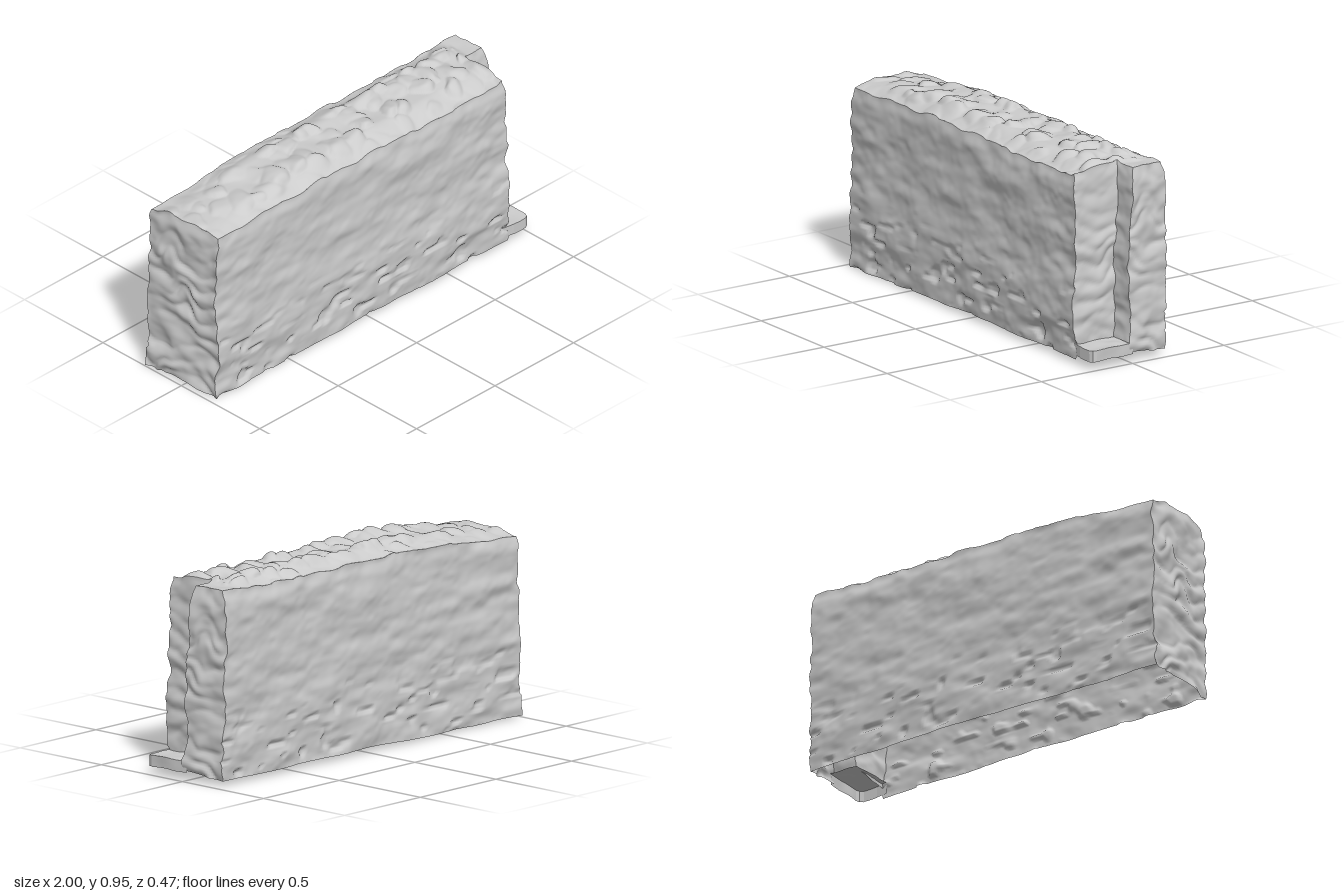
import * as THREE from 'three';

// seeded value noise, roughly -1..1
const hash = (x, y, z) => {
  const s = Math.sin(x * 127.1 + y * 311.7 + z * 74.7) * 43758.5453;
  return s - Math.floor(s);
};
const { lerp, smoothstep } = THREE.MathUtils;
function noise(x, y, z) {
  const i = Math.floor(x), j = Math.floor(y), k = Math.floor(z);
  const f = (t) => t * t * (3 - 2 * t);
  const u = f(x - i), v = f(y - j), w = f(z - k);
  const row = (b, c) => lerp(hash(i, b, c), hash(i + 1, b, c), u);
  const layer = (c) => lerp(row(j, c), row(j + 1, c), v);
  return lerp(layer(k), layer(k + 1), w) * 2 - 1;
}

// tilted, flattened stones scattered over the top
function rubble(x0, z0) {
  const x = x0 + 0.016 * noise(x0 * 18, 6, z0 * 18), z = z0 + 0.016 * noise(x0 * 18, 16, z0 * 18);
  const size = 0.11, ci = Math.floor(x / size), cj = Math.floor(z / size);
  let h = 0;
  for (let i = ci - 1; i <= ci + 1; i++) {
    for (let j = cj - 1; j <= cj + 1; j++) {
      const dx = x - (i + hash(i, j, 3)) * size, dz = z - (j + hash(i, j, 8)) * size;
      const turn = hash(i, j, 12) * Math.PI, c = Math.cos(turn), s = Math.sin(turn);
      const d = Math.hypot(c * dx + s * dz, 1.4 * (c * dz - s * dx)) / (0.06 + 0.035 * hash(i, j, 5));
      const tilt = 0.2 * (c * dx + s * dz);
      if (d < 1) h = Math.max(h, (0.008 + 0.02 * hash(i, j, 9) + tilt) * (1 - d ** 3));
    }
  }
  return h;
}

// top height: low at the edges and the left end, crested in the middle, flat on the pier
function topHeight(x, z) {
  const inside = smoothstep(z, -0.23, -0.08) * (1 - smoothstep(z, 0.08, 0.22));
  const ends = smoothstep(x, -1, -0.35);
  const edge = lerp(0.842, 0.866, smoothstep(x, -0.98, -0.2)) + 0.022 * smoothstep(-z, 0, 0.2) * ends;
  const body = edge + inside * (0.02 + 0.03 * ends) + rubble(x, z) * (0.3 + 0.7 * inside) * (0.4 + 0.6 * ends);
  return lerp(body, 0.902, smoothstep(x, 0.82, 0.9)) + 0.008 * noise(x * 9, 4, z * 9);
}

const baseHeight = (x, z) => 0.012 + 0.013 * (x + 1) + 0.005 * noise(x * 7, 1, z * 7)
  + 0.01 * Math.cos(z * 14) * Math.abs(x) + 0.012 * smoothstep(-z, 0, 0.2) * smoothstep(-x, 0.5, 1);

// maps (x, height fraction, z) to the weathered stone surface
function weather(x, v, z) {
  const y = lerp(baseHeight(x, z), topHeight(x, z), v);
  const courses = (s) => 0.012 * noise(x * 5 + s, y * 11, z * 7)
    + 0.007 * noise(x * 11 + s, y * 22, z * 13) + 0.002 * noise(x * 28, y * 42 + s, z * 28);
  // small hollow joints, mostly low on the faces
  const joint = 0.014 * smoothstep(noise(x * 14 + 5, y * 34, 2 + Math.sign(z)), 0.4, 0.8)
    * (1 - smoothstep(y, 0.15, 0.45));
  const bulge = 0.012 * Math.exp(-(((y - 0.26) / 0.16) ** 2));
  const side = smoothstep(z, 0.08, 0.2) - smoothstep(-z, 0.08, 0.2);
  // uneven scallops on the end corners, rounding at the top edges, leaning notch
  const end = smoothstep(x, 0.7, 0.95) - smoothstep(-x, 0.8, 0.95);
  const scallop = 0.014 * (Math.abs(Math.sin(y * 34 + 2.5 * noise(z * 11, y * 6, 3))) - 0.6)
    * (0.5 + 0.5 * noise(z * 8, y * 7, 20)) + 0.008 * noise(3, y * 14, z * 14);
  const flare = 0.012 * (1 - smoothstep(y, 0.05, 0.25)) * smoothstep(-x, 0.85, 0.97);
  const round = smoothstep(v, 0.93, 1);
  const lean = 0.035 * v ** 4 * smoothstep(x, 0.75, 0.85) * Math.max(0, 1 - Math.abs(z) / 0.15);
  return [
    x + courses(31) * 0.8 + end * (scallop - 0.008 * round) - flare - 0.016 * v * smoothstep(x, 0.5, 0.8),
    y,
    z + courses(77) * 0.85 + side * (bulge * (z > 0 ? 1 : 0.3) - joint - 0.01 * round) - lean,
  ];
}

// grid over a four-cornered patch, corners counter-clockwise from outside
function patch(name, [a, b, c, d], nu, nv, material, rule = weather) {
  const pos = [], index = [];
  for (let j = 0; j <= nv; j++) {
    for (let i = 0; i <= nu; i++) {
      const u = i / nu, t = j / nv;
      const p = [0, 1, 2].map((k) => lerp(lerp(a[k], b[k], u), lerp(d[k], c[k], u), t));
      pos.push(...rule(...p));
      if (i < nu && j < nv) {
        const n = j * (nu + 1) + i, m = n + nu + 1;
        index.push(n, n + 1, m + 1, n, m + 1, m);
      }
    }
  }
  const geometry = new THREE.BufferGeometry();
  geometry.setAttribute('position', new THREE.Float32BufferAttribute(pos, 3));
  geometry.setIndex(index);
  geometry.computeVertexNormals();
  const mesh = new THREE.Mesh(geometry, material);
  mesh.name = name;
  return mesh;
}

export function createModel() {
  const group = new THREE.Group();
  group.name = 'stoneWall';
  const stone = new THREE.MeshStandardMaterial({ color: 0xcccccc, roughness: 0.9, side: THREE.DoubleSide });

  // footprint corners as [x, z]
  const frontLeft = [-0.96, 0.184], frontRight = [0.862, 0.216];
  const notchIn = [0.866, 0], notchOut = [0.982, 0];
  const backRight = [0.96, -0.212], backMid = [0.87, -0.212], backLeft = [-0.978, -0.226];
  const step = 0.055;
  const at = ([x, z], v) => [x, v, z];
  const wall = (name, p, q, v0, n, rows = 80) => group.add(
    patch(name, [at(p, v0), at(q, v0), at(q, 1), at(p, 1)], n, rows, stone));
  const flat = (name, corners, nu, nv) => group.add(
    patch(name, corners.map((p) => at(p, 1)), nu, nv, stone));

  // hollow body, open underneath
  wall('frontFace', frontLeft, frontRight, 0, 160);
  wall('notchSide', frontRight, notchIn, step, 24);
  wall('notchBack', notchIn, notchOut, step, 14);
  wall('endFaceLeft', notchOut, backRight, 0, 24);
  wall('backFace', backRight, backLeft, 0, 160);
  wall('endFaceRight', backLeft, frontLeft, 0, 40);

  // rubble top over the body and the narrow pier
  flat('rubbleTop', [frontLeft, frontRight, backMid, backLeft], 200, 56);
  flat('pierTop', [notchIn, notchOut, backRight, backMid], 16, 26);

  // low ledge filling the foot of the notch, tucked under the walls, with a rounded corner
  const ledge = (x, y, z) => [
    x + 0.004 * noise(x * 20, y * 20, z * 20), y + 0.004 * noise(x * 18, 2, z * 18), z];
  const rim = [[0.84, 0.21], [0.9, 0.219], [0.972, 0.219], [0.99, 0.211], [0.997, 0.193], [0.986, -0.012]];
  for (let i = 0; i < rim.length - 1; i++) {
    const p = rim[i], q = rim[i + 1];
    group.add(patch('ledgeSide', [at(p, 0.042), at(q, 0.044), at(q, 0.096), at(p, 0.096)], 10, 4, stone, ledge));
    // top strip running back from this stretch of rim
    if (i < 4) group.add(patch('ledgeTop', [at(p, 0.096), at(q, 0.096),
      [Math.min(q[0], 0.986), 0.096, -0.02], [Math.min(p[0], 0.986), 0.096, -0.02]], 6, 16, stone, ledge));
  }
  return group;
}
